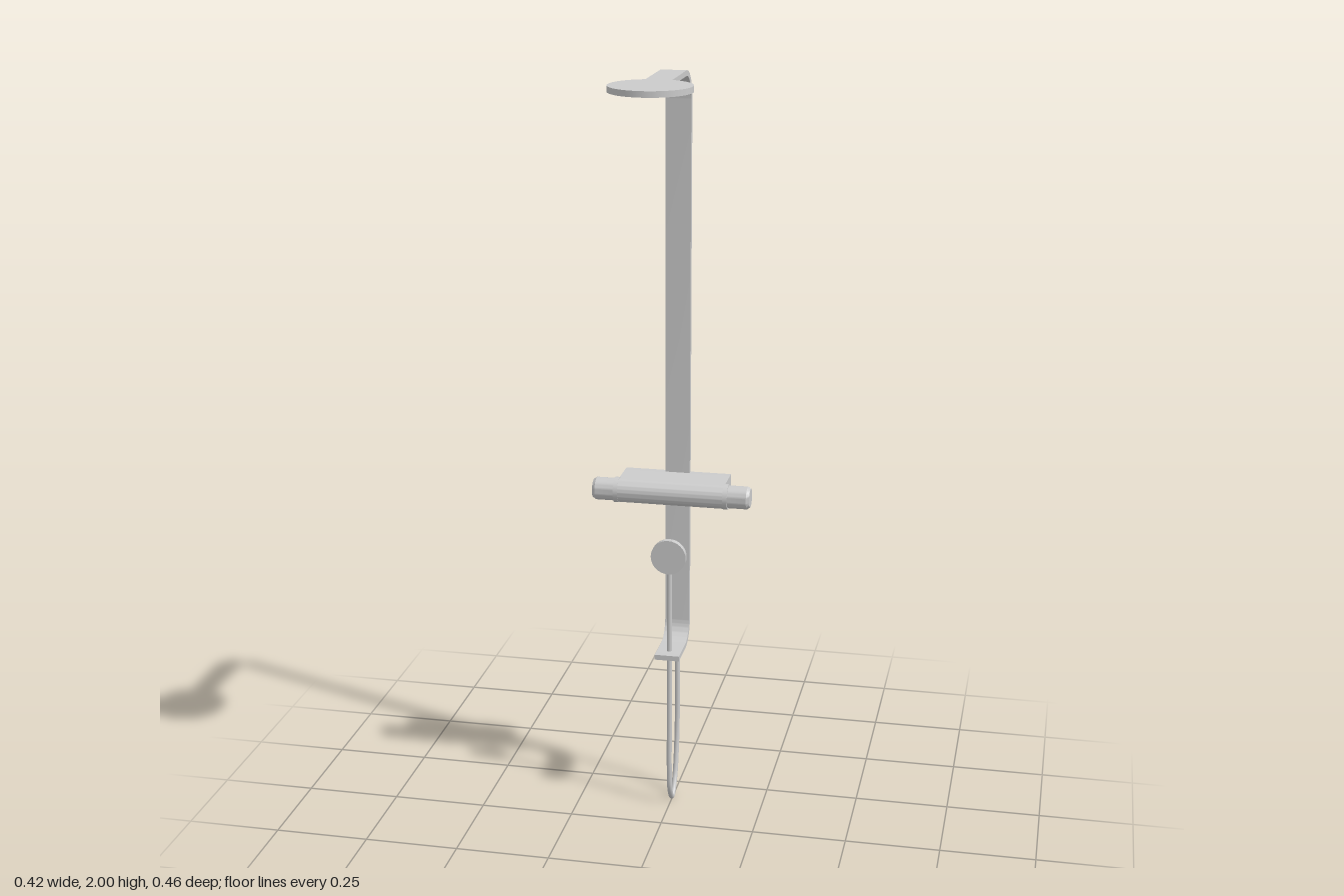
import * as THREE from 'three';
import { toCreasedNormals } from 'three/addons/utils/BufferGeometryUtils.js';

const material = new THREE.MeshStandardMaterial({ color: 0xcccccc });

function add(parent, name, geometry, x = 0, y = 0, z = 0) {
  const mesh = new THREE.Mesh(geometry, material);
  mesh.name = name;
  mesh.position.set(x, y, z);
  parent.add(mesh);
  return mesh;
}

// Extrudes a side profile drawn in (z, y) across the given width, centred on x = 0
function extrudeSide(shape, width) {
  const g = new THREE.ExtrudeGeometry(shape, { depth: width, bevelEnabled: false, curveSegments: 16 });
  g.translate(0, 0, -width / 2).rotateY(-Math.PI / 2);
  return toCreasedNormals(g, 0.5);
}

const lathe = (points, segments) => toCreasedNormals(
  new THREE.LatheGeometry(points.map(([r, h]) => new THREE.Vector2(r, h)), segments), 0.5);

export function createModel() {
  const root = new THREE.Group();
  root.name = 'showerColumn';

  // Flat band: overhead arm, wall column and hose shelf in one bent strip
  const T = 0.014, back = -0.228, top = 2, low = 0.448;
  const R1 = 0.08, R2 = 0.065;
  const band = new THREE.Shape();
  band.moveTo(0.06, top);
  band.lineTo(back + R1, top);
  band.absarc(back + R1, top - R1, R1, Math.PI / 2, Math.PI, false);
  band.lineTo(back, low + R2);
  band.absarc(back + R2, low + R2, R2, Math.PI, Math.PI * 1.5, false);
  band.lineTo(-0.073, low);
  band.lineTo(-0.073, low + T);
  band.lineTo(back + R2, low + T);
  band.absarc(back + R2, low + R2, R2 - T, Math.PI * 1.5, Math.PI, true);
  band.lineTo(back + T, top - R1);
  band.absarc(back + R1, top - R1, R1 - T, Math.PI, Math.PI / 2, true);
  band.lineTo(0.06, top - T);
  band.closePath();
  add(root, 'columnBand', extrudeSide(band, 0.066));

  // Round overhead shower plate
  add(root, 'showerHead', new THREE.CylinderGeometry(0.103, 0.103, 0.015, 48), 0, 1.9925, 0.125);

  // Mixer body: block with a half-round front
  const mixer = new THREE.Group();
  mixer.name = 'mixer';
  root.add(mixer);
  const my = 0.9, mz = -0.135, r = 0.032;
  const body = new THREE.Shape();
  body.moveTo(back, my - r);
  body.lineTo(mz, my - r);
  body.absarc(mz, my, r, -Math.PI / 2, Math.PI / 2, false);
  body.lineTo(back, my + r);
  body.closePath();
  add(mixer, 'mixerBody', extrudeSide(body, 0.284));

  // Collar and chamfered knob at each end
  for (const side of [1, -1]) {
    const collar = add(mixer, 'collar', new THREE.CylinderGeometry(0.0335, 0.0335, 0.012, 32),
      side * 0.146, my, mz - 0.001);
    collar.rotation.z = -side * Math.PI / 2;
    const knob = add(mixer, 'knob',
      lathe([[0, 0], [0.03, 0], [0.03, 0.062], [0.025, 0.07], [0, 0.07]], 32),
      side * 0.14, my, mz - 0.002);
    knob.rotation.z = -side * Math.PI / 2;
  }

  // Hand shower: flat face to the front, domed back
  const profile = [[0, -0.043]];
  for (let i = 1; i <= 10; i++) {
    const a = (i / 10) * Math.PI / 2;
    profile.push([0.047 * Math.sin(a), -0.013 - 0.03 * Math.cos(a)]);
  }
  profile.push([0.047, 0], [0, 0]);
  const handset = add(root, 'handShower', lathe(profile, 32), 0, 0.735, -0.09);
  handset.rotation.x = Math.PI / 2;

  // Hose: hangs through the shelf and loops up behind to the column
  const path = new THREE.CatmullRomCurve3([
    [0.72, -0.109], [0.5, -0.109], [0.25, -0.109], [0.1, -0.11], [0.045, -0.118],
    [0.008, -0.15], [0.045, -0.185], [0.11, -0.206], [0.2, -0.219], [0.35, -0.22], [0.5, -0.22],
  ].map(([y, z]) => new THREE.Vector3(0, y, z)));
  add(root, 'hose', new THREE.TubeGeometry(path, 100, 0.007, 12, false));

  return root;
}
